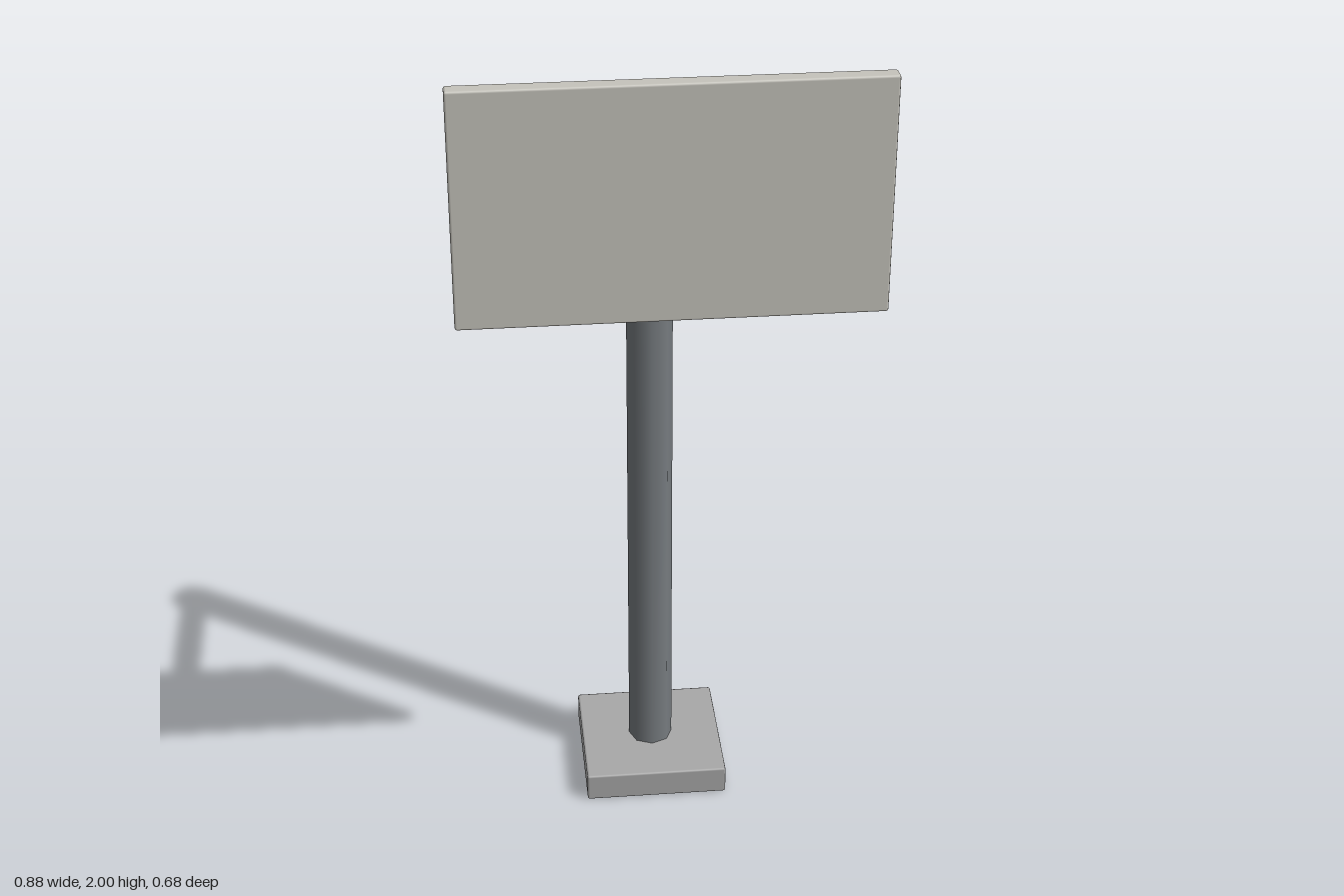
import * as THREE from 'three';
import { RoundedBoxGeometry } from 'three/addons/geometries/RoundedBoxGeometry.js';

const mat = (color) => new THREE.MeshStandardMaterial({ color });

// Slightly bevelled box spanning the given min/max corners
function block(name, min, max, bevel, material) {
  const [w, h, d] = max.map((v, i) => v - min[i]);
  const mesh = new THREE.Mesh(new RoundedBoxGeometry(w, h, d, 1, bevel), material);
  mesh.position.set(...max.map((v, i) => (v + min[i]) / 2));
  mesh.name = name;
  return mesh;
}

// Low-sided upright cylinder between two heights
function post(name, radius, y0, y1, z, sides, material) {
  const mesh = new THREE.Mesh(new THREE.CylinderGeometry(radius, radius, y1 - y0, sides), material);
  mesh.position.set(0, (y0 + y1) / 2, z);
  mesh.name = name;
  return mesh;
}

export function createModel() {
  const group = new THREE.Group();
  group.name = 'basketballHoop';

  const steel = mat(0x777c80);
  const concrete = mat(0xa8a8a8);
  const panel = mat(0xc6c4bc);

  // Foot slab and upright pole
  group.add(block('base', [-0.17, 0, -0.34], [0.17, 0.07, 0], 0.005, concrete));
  group.add(post('pole', 0.053, 0.06, 1.738, -0.171, 8, steel));

  // Arm reaching forward to the backboard
  group.add(block('supportArm', [-0.024, 1.698, -0.171], [0.024, 1.741, 0.31], 0.006, steel));
  group.add(block('backboard', [-0.44, 1.49, 0.303], [0.44, 2, 0.34], 0.005, panel));

  // Flat ten-sided hoop disc, corners pointing sideways
  const hoop = post('hoop', 0.112, 1.49, 1.511, 0.197, 10, steel);
  hoop.rotation.y = Math.PI / 2;
  group.add(hoop);

  return group;
}
